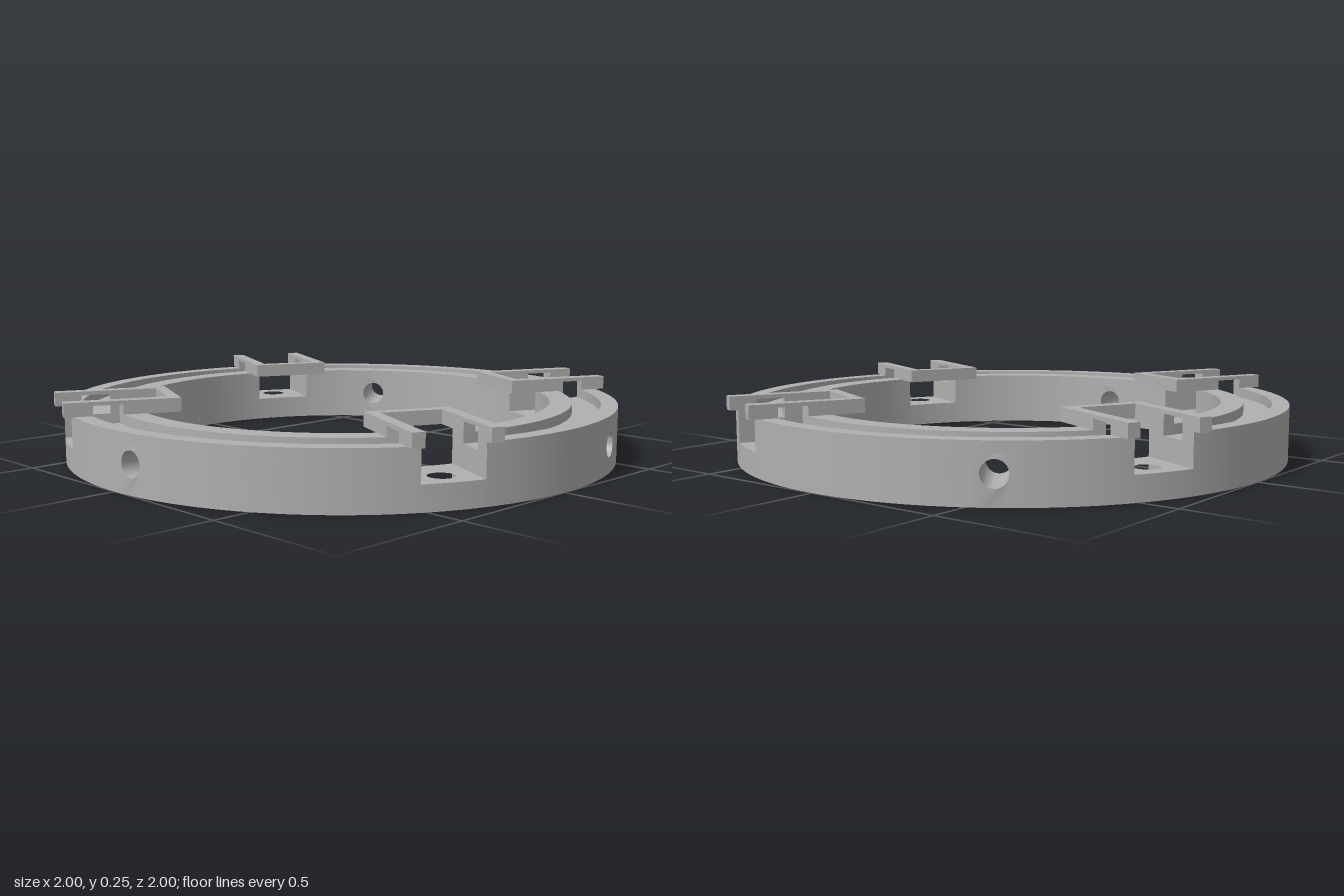
import * as THREE from 'three';
import { toCreasedNormals } from 'three/addons/utils/BufferGeometryUtils.js';

const R_IN = 0.76, R_OUT = 1;            // ring wall
const G_IN = 0.84, G_OUT = 0.94;         // groove
const Y_FLOOR = 0.085, Y_GROOVE = 0.163, Y_RING = 0.198, Y_TUNNEL = 0.233, Y_TOP = 0.246;
const SLOT_W = 0.105, ARM_W = 0.148, PANEL_W = 0.06, HOLE_R = 0.044;
const rad = THREE.MathUtils.degToRad;
const grey = new THREE.MeshStandardMaterial({ color: 0xb0b0b0 });
grey.name = 'plain grey';

function addMesh(parent, name, geometry) {
  const mesh = new THREE.Mesh(toCreasedNormals(geometry, 0.6), grey);
  mesh.name = name;
  parent.add(mesh);
  return mesh;
}

// Extrude a plan shape (x, z) between two heights
function slab(shape, y0, y1) {
  const g = new THREE.ExtrudeGeometry(shape, { depth: y1 - y0, bevelEnabled: false, curveSegments: 24 });
  return g.rotateX(Math.PI / 2).translate(0, y1, 0);
}

const polygon = (points) => new THREE.Shape(points.map(([x, z]) => new THREE.Vector2(x, z)));

// Ring segment between two parallel-sided cuts at azimuths a0 and a1 with half widths w0 and w1
function sector(r0, r1, a0, w0, a1, w1) {
  const points = [];
  const arc = (r, reverse) => {
    const start = a0 + Math.asin(w0 / r), end = a1 - Math.asin(w1 / r);
    const n = Math.max(6, Math.ceil((a1 - a0) / rad(2)));
    for (let i = 0; i <= n; i++) {
      const t = reverse ? 1 - i / n : i / n;
      const a = start + (end - start) * t;
      points.push([r * Math.sin(a), r * Math.cos(a)]);
    }
  };
  arc(r1, false);
  arc(r0, true);
  return polygon(points);
}

// Curved wall block with a round radial hole
function drilledBlock() {
  const n = 6, points = [];
  for (let i = 0; i <= n; i++) points.push([PANEL_W * (2 * i / n - 1), 0]);
  for (let i = n; i >= 0; i--) points.push([PANEL_W * (2 * i / n - 1), Y_GROOVE]);
  const shape = polygon(points);
  shape.holes.push(new THREE.Path().absarc(0, 0.1, HOLE_R, 0, Math.PI * 2, true));
  const g = new THREE.ExtrudeGeometry(shape, { depth: 1, bevelEnabled: false, curveSegments: 16 });
  const p = g.attributes.position;
  for (let i = 0; i < p.count; i++) {
    const r = p.getZ(i) > 0.5 ? R_OUT : R_IN;
    p.setZ(i, Math.sqrt(r * r - p.getX(i) ** 2));
  }
  return g;
}

// U-shaped frame over a slot, with a tunnel in line with the groove
function createClip() {
  const clip = new THREE.Group();
  const back = 0.63, bar = 0.67, end = 1.024;
  const onArc = (r, x) => [x, Math.sqrt(r * r - x * x)];
  const frame = (outer, inner) => polygon([
    [-ARM_W, back], [ARM_W, back], outer(ARM_W), inner(SLOT_W),
    [SLOT_W, bar], [-SLOT_W, bar], inner(-SLOT_W), outer(-ARM_W)]);
  const toEnd = (x) => [x, end], toGroove = (x) => onArc(G_IN, x);
  addMesh(clip, 'frameTop', slab(frame(toEnd, toEnd), Y_TUNNEL, Y_TOP));
  addMesh(clip, 'frameInner', slab(frame(toGroove, toGroove), Y_RING, Y_TUNNEL));
  for (const s of [-1, 1]) {
    const foot = polygon([onArc(G_OUT, s * SLOT_W), onArc(G_OUT, s * ARM_W), [s * ARM_W, end], [s * SLOT_W, end]]);
    addMesh(clip, s < 0 ? 'rightArmEnd' : 'leftArmEnd', slab(foot, Y_RING, Y_TUNNEL));
  }

  // Slot floor with a vertical screw hole
  const floor = sector(R_IN, R_OUT, 0, -SLOT_W, 0, -SLOT_W);
  floor.holes.push(new THREE.Path().absarc(0, 0.904, HOLE_R, 0, Math.PI * 2, true));
  addMesh(clip, 'slotFloor', slab(floor, 0, Y_FLOOR));
  return clip;
}

export function createModel() {
  const model = new THREE.Group();
  model.name = 'clampRing';

  const slots = [-25, 65, 155, 245].map((d) => ({ a: rad(d), w: SLOT_W }));
  const drilled = [5, 110, 215].map((d) => ({ a: rad(d), w: PANEL_W }));

  // Ring body between all cuts
  const cuts = [...slots, ...drilled].sort((p, q) => p.a - q.a);
  cuts.push({ a: cuts[0].a + Math.PI * 2, w: SLOT_W });
  for (let i = 0; i < cuts.length - 1; i++) {
    const p = cuts[i], q = cuts[i + 1];
    addMesh(model, 'ringBody', slab(sector(R_IN, R_OUT, p.a, p.w, q.a, q.w), 0, Y_GROOVE));
  }

  // Wall blocks with radial holes
  for (const { a } of drilled) addMesh(model, 'drilledWall', drilledBlock()).rotation.y = a;

  // Raised rims on both sides of the groove, and the clips
  for (const { a } of slots) {
    const next = a + Math.PI / 2;
    addMesh(model, 'innerRim', slab(sector(R_IN, G_IN, a, SLOT_W, next, SLOT_W), Y_GROOVE, Y_RING));
    addMesh(model, 'outerRim', slab(sector(G_OUT, R_OUT, a, SLOT_W, next, SLOT_W), Y_GROOVE, Y_RING));
    const clip = createClip();
    clip.name = 'clip';
    clip.rotation.y = a;
    model.add(clip);
  }
  return model;
}
